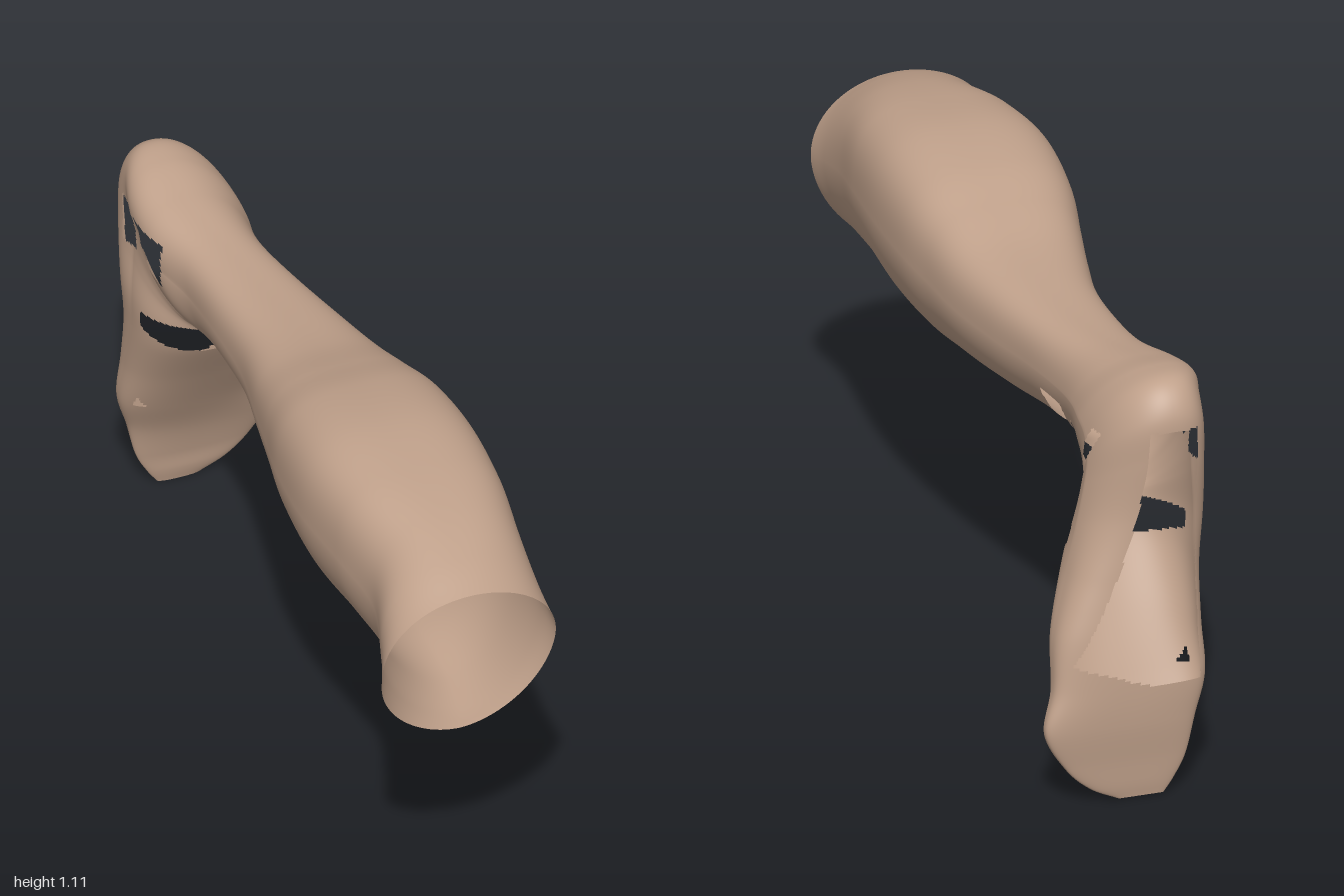
import * as THREE from 'three';

// Cross-sections from knee to toes:
// back edge (xMin, y, z) and front edge (xMax, y, z)
const SECTIONS = [
  [-0.27, 0.98, 0.985, 0.185, 0.565, 0.93],
  [-0.235, 1.02, 0.89, 0.18, 0.57, 0.87],
  [-0.2, 1.06, 0.76, 0.185, 0.585, 0.76],
  [-0.22, 1.09, 0.6, 0.205, 0.605, 0.6],
  [-0.235, 1.105, 0.42, 0.217, 0.6, 0.42],
  [-0.22, 1.085, 0.24, 0.213, 0.615, 0.24],
  [-0.19, 1.045, 0.1, 0.195, 0.64, 0.1],
  [-0.16, 1.005, -0.04, 0.175, 0.665, -0.04],
  [-0.13, 0.985, -0.2, 0.145, 0.69, -0.2],
  [-0.125, 0.977, -0.38, 0.11, 0.71, -0.36],
  [-0.13, 0.985, -0.55, 0.09, 0.71, -0.48],
  [-0.16, 1.01, -0.7, 0.095, 0.71, -0.56],
  [-0.16, 1.037, -0.82, 0.11, 0.69, -0.62],
  [-0.14, 1.035, -0.91, 0.115, 0.66, -0.645],
  [-0.135, 0.97, -0.965, 0.12, 0.645, -0.655],
  [-0.135, 0.86, -0.97, 0.13, 0.64, -0.665],
  [-0.14, 0.7, -0.958, 0.15, 0.61, -0.68],
  [-0.135, 0.56, -0.965, 0.18, 0.55, -0.705],
  [-0.13, 0.42, -0.985, 0.23, 0.41, -0.79],
  [-0.13, 0.3, -0.995, 0.245, 0.28, -0.865],
  [-0.1, 0.2, -0.995, 0.27, 0.18, -0.915],
  [-0.075, 0.1, -0.985, 0.22, 0.09, -0.945],
  [-0.045, 0.04, -0.98, 0.16, 0.035, -0.955],
  [-0.02, 0.005, -0.975, 0.09, 0.0, -0.965],
];
const ROWS = 345, SIDES = 190;
const { lerp, smoothstep } = THREE.MathUtils;

const spline = (offset) => new THREE.CatmullRomCurve3(
  SECTIONS.map((s) => new THREE.Vector3(s[offset], s[offset + 1], s[offset + 2])), false, 'catmullrom', 0.5);

const between = (v, a, b) => v > a && v < b;

// Openings in the shell
function isOpen(x, y, z) {
  // sole, widening from the heel down to the ball of the foot
  if (z < -0.88 && between(y, 0.29 + 0.35 * Math.max(0, x), 0.93)) {
    const spread = 0.93 - y;
    if (between(x, -0.11, 0.01 + 0.6 * spread * spread)) return true;
  }
  // gap across the instep
  if (between(z, -0.8, -0.6) && y < 0.637 && y > 0.55 + (-0.7 - z) * 0.45) return true;
  if (x > 0.02) {
    // notches on the left of the ankle
    if (between(z, -0.53, -0.42) && between(y, 0.715, 0.82)) return true;
    if (between(z, -0.67, -0.585) && between(y, 0.72, 0.81 + 0.3 * (z + 0.585))) return true;
    // curved slit beside the heel
    const t = (y - 0.65) / 0.25;
    if (between(t, 0, 1) && Math.abs(z + 0.675 + 0.17 * Math.pow(t, 0.7)) < 0.02) return true;
  }
  // windows on the right of the ankle
  if (x < -0.06) {
    if (between(z, -0.79, -0.62) && between(y, 0.83, 0.945)) return true;
    if (between(z, -0.88, -0.82) && between(y, 0.8, 0.93)) return true;
  }
  return false;
}

export function createModel() {
  const group = new THREE.Group();
  group.name = 'lowerLeg';
  const skin = new THREE.MeshStandardMaterial({ color: 0xbfa08a, side: THREE.DoubleSide });
  skin.name = 'skin';

  // Sweep a rounded section, broad at the back and narrow at the front
  const back = spline(0), front = spline(3);
  const pos = [];
  for (let i = 0; i <= ROWS; i++) {
    const t = i / ROWS;
    const b = back.getPoint(t), f = front.getPoint(t);
    const cx = (b.x + f.x) / 2, half = (f.x - b.x) / 2;
    const my = lerp(f.y, b.y, 0.57), mz = lerp(f.z, b.z, 0.57);
    // rounder at the knee rim and the heel, squarer along the calf and sole
    const knee = 1 - smoothstep(t, 0, 0.13);
    const heel = smoothstep(t, 0.37, 0.55) - smoothstep(t, 0.65, 0.76);
    const backPower = 0.65 + 0.35 * knee + 0.27 * heel;
    const frontPower = 1.1 - 0.2 * smoothstep(t, 0.65, 0.75);
    for (let j = 0; j < SIDES; j++) {
      const a = (j / SIDES) * Math.PI * 2, c = Math.cos(a), s = Math.sin(a);
      const p = s > 0 ? backPower : frontPower;
      const u = Math.sign(c) * Math.pow(Math.abs(c), p);
      const v = Math.pow(Math.abs(s), p);
      const end = s > 0 ? b : f;
      const flare = 0.018 * knee * (1 - u) * (1 - v);
      // the heel ridge leans to the right
      const lean = s > 0 ? 0.045 * heel * v : 0;
      pos.push(cx + half * u - lean, Math.max(0, my + (end.y - my) * v), mz + (end.z - mz) * v + flare);
    }
  }

  // Faces of a run of rows, optionally leaving out the openings
  const faces = (from, to, cut) => {
    const index = [];
    for (let i = from; i < to; i++) {
      for (let j = 0; j < SIDES; j++) {
        const k = (j + 1) % SIDES;
        const q = [i * SIDES + j, i * SIDES + k, (i + 1) * SIDES + k, (i + 1) * SIDES + j];
        const mid = [0, 1, 2].map((n) => q.reduce((sum, id) => sum + pos[id * 3 + n], 0) / 4);
        if (cut && isOpen(...mid)) continue;
        index.push(q[0], q[2], q[1], q[0], q[3], q[2]);
      }
    }
    return index;
  };

  // Smooth normals are shared by all parts so no seams show
  const whole = new THREE.BufferGeometry();
  whole.setAttribute('position', new THREE.Float32BufferAttribute(pos, 3));
  whole.setIndex(faces(0, ROWS, false));
  whole.computeVertexNormals();

  const rowOf = (section) => Math.round((section / (SECTIONS.length - 1)) * ROWS);
  const parts = [['calf', 0, 9], ['ankleAndHeel', 9, 16], ['foot', 16, SECTIONS.length - 1]];
  for (const [name, from, to] of parts) {
    const geometry = new THREE.BufferGeometry();
    geometry.setAttribute('position', whole.getAttribute('position'));
    geometry.setAttribute('normal', whole.getAttribute('normal'));
    geometry.setIndex(faces(rowOf(from), rowOf(to), true));
    const mesh = new THREE.Mesh(geometry, skin);
    mesh.name = name;
    group.add(mesh);
  }
  return group;
}
